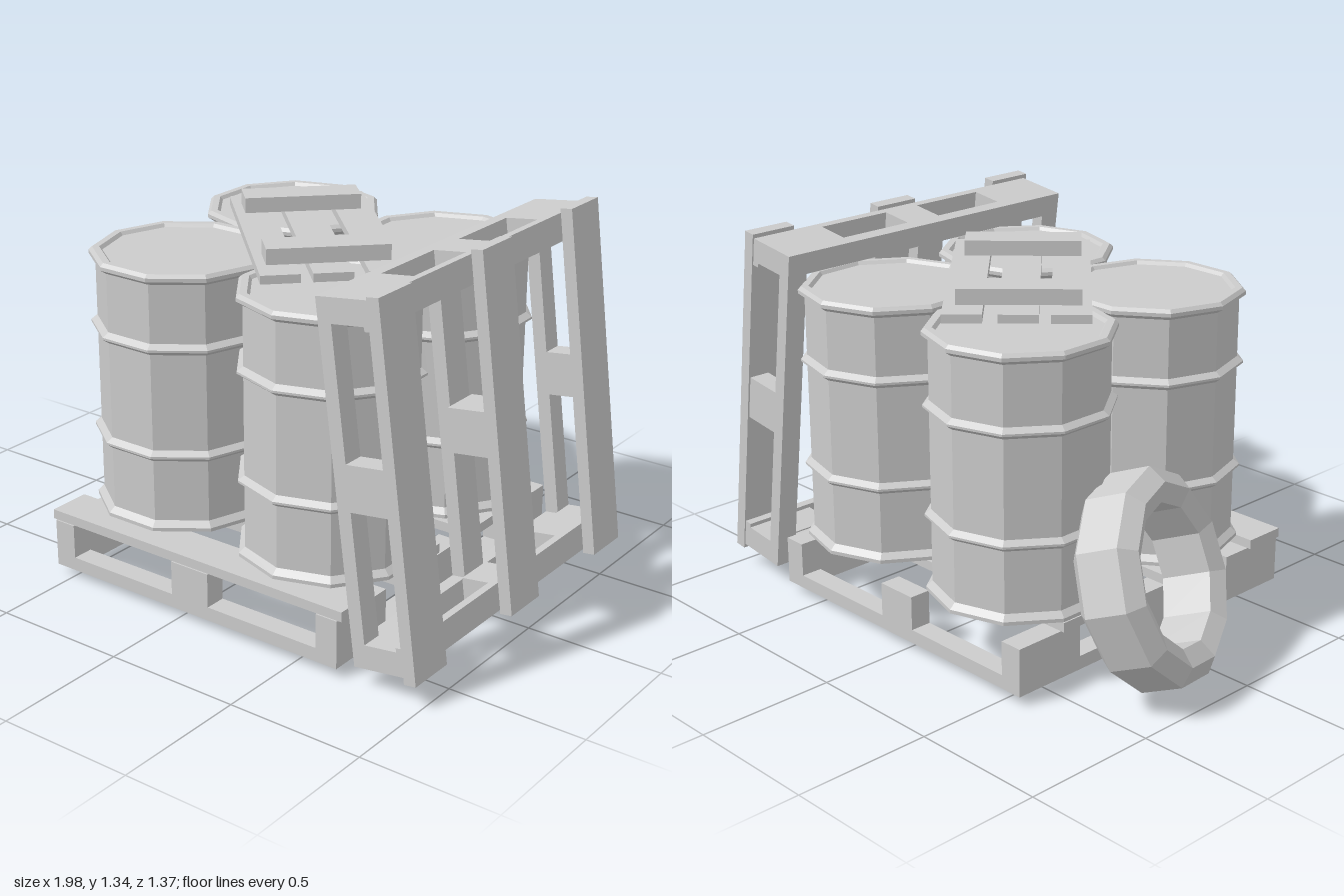
import * as THREE from 'three';

const material = new THREE.MeshStandardMaterial({ color: 0xcccccc, flatShading: true });
const solid = new THREE.MeshStandardMaterial({ color: 0xcccccc, flatShading: true, side: THREE.DoubleSide });

function box(parent, name, size, pos) {
  const mesh = new THREE.Mesh(new THREE.BoxGeometry(...size), material);
  mesh.name = name;
  mesh.position.set(...pos);
  parent.add(mesh);
  return mesh;
}

function lathe(name, profile, sides, phase = 0) {
  const points = profile.map(([r, y]) => new THREE.Vector2(r, y));
  const mesh = new THREE.Mesh(new THREE.LatheGeometry(points, sides, phase), solid);
  mesh.name = name;
  return mesh;
}

// Pallet lying flat: bottom frame, blocks, optional cross boards, deck planks [z, width, x shift]
function pallet(name, planks, crossBoards) {
  const g = new THREE.Group();
  g.name = name;
  const L = 1.24, W = 1.31;
  for (const s of [-1, 0, 1]) {
    box(g, 'bottomBoard', [L, 0.05, s ? 0.08 : 0.12], [0, 0.025, s * (W / 2 - 0.04)]);
    if (s) box(g, 'bottomEndBoard', [0.08, 0.05, W - 0.16], [s * (L / 2 - 0.04), 0.025, 0]);
  }
  for (const i of [-1, 0, 1]) {
    for (const k of [-1, 0, 1]) {
      const w = i ? 0.085 : 0.16;
      const d = i && k ? 0.28 : k ? 0.08 : 0.15;
      const h = crossBoards && !i ? 0.15 : 0.125;
      box(g, 'block', [w, h, d], [i * (L - w) / 2, 0.05 + h / 2, k * (W - d) / 2]);
    }
    if (crossBoards && i) box(g, 'crossBoard', [0.1, 0.03, W], [i * (L / 2 - 0.05), 0.188, 0]);
  }
  const y = crossBoards ? 0.225 : 0.193;
  for (const [z, width, shift] of planks) {
    box(g, 'deckPlank', [1.27, crossBoards ? 0.045 : 0.035, width], [shift, y, z]);
  }
  return g;
}

export function createModel() {
  const model = new THREE.Group();
  model.name = 'palletWithBarrels';

  // Base pallet with its rear plank missing
  const base = pallet('basePallet',
    [[0.57, 0.16, 0], [0.13, 0.17, -0.02], [-0.19, 0.17, 0.01], [-0.39, 0.15, 0]], false);
  base.position.set(0.05, 0.04, 0.01);
  model.add(base);

  // Second pallet leaning on the barrels
  const leaning = pallet('leaningPallet', [[0.58, 0.18, 0], [0, 0.18, 0], [-0.57, 0.18, 0]], true);
  leaning.position.set(0.66, 0.69, 0.01);
  leaning.rotation.z = -Math.PI / 2 + 0.132;
  model.add(leaning);

  // Four ribbed barrels
  const R = 0.305, rim = 0.327;
  const profile = [[0, 0.255], [0.3, 0.25], [rim, 0.262], [rim, 0.275], [R, 0.295]];
  for (const y of [0.54, 0.93]) profile.push([R, y - 0.02], [rim, y - 0.004], [rim, y + 0.004], [R, y + 0.02]);
  profile.push([R, 1.16], [rim, 1.175], [rim, 1.188], [0.315, 1.2], [0.29, 1.2], [0.28, 1.188], [0, 1.188]);
  for (const [x, z, phase] of [[-0.285, -0.365, 0], [0.38, -0.355, 0.05], [-0.27, 0.285, 0.31], [0.38, 0.3, 0]]) {
    const barrel = lathe('barrel', profile, 10, phase);
    barrel.position.set(x, 0, z);
    model.add(barrel);
  }

  // Slatted lid lying diagonally on top
  const lid = new THREE.Group();
  lid.name = 'slattedLid';
  for (const z of [-0.185, 0, 0.175]) box(lid, 'lidPlank', [0.93, 0.03, 0.135], [0, 1.218, z]);
  for (const x of [-0.3, 0.3]) box(lid, 'lidBatten', [0.125, 0.055, 0.42], [x, 1.262, 0]);
  lid.position.set(0.04, 0, -0.05);
  lid.rotation.y = -Math.PI / 4;
  model.add(lid);

  // Tyre leaning against the left barrel
  const tyre = lathe('tyre', [
    [0.245, -0.09], [0.31, -0.12], [0.37, -0.075], [0.37, 0.075],
    [0.31, 0.12], [0.245, 0.09], [0.245, -0.09],
  ], 11);
  tyre.quaternion.setFromUnitVectors(
    new THREE.Vector3(0, 1, 0), new THREE.Vector3(-0.88, 0.34, 0.32).normalize());
  tyre.position.set(-0.74, 0.38, -0.195);
  model.add(tyre);

  return model;
}
